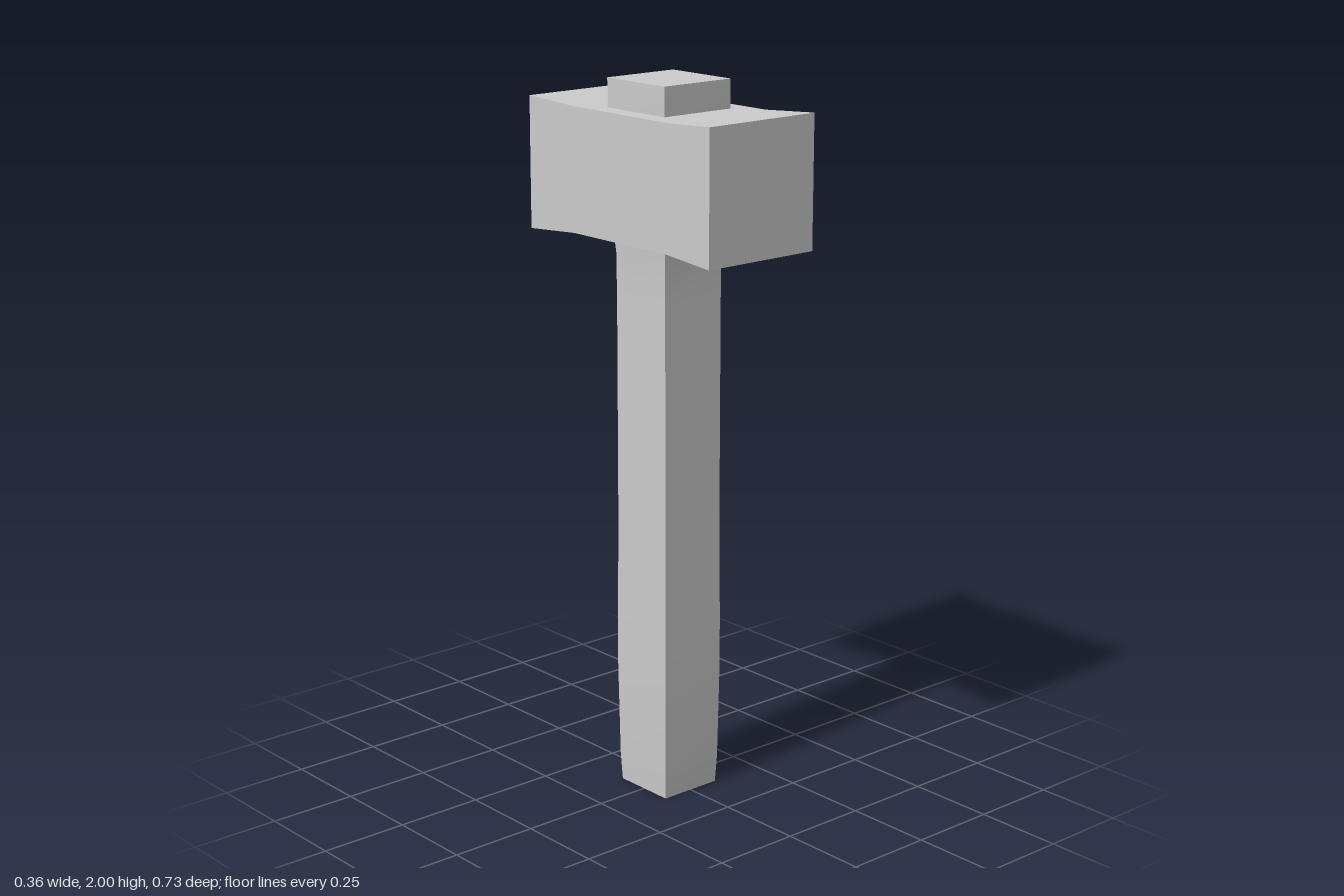
import * as THREE from 'three';
import { toCreasedNormals } from 'three/addons/utils/BufferGeometryUtils.js';

const material = new THREE.MeshStandardMaterial({ color: 0xcccccc });

// Square bar along y, shaped by [position, half width] stations
function squareBar(name, stations) {
  const geometry = new THREE.BoxGeometry(2, 1, 2, 1, stations.length - 1, 1);
  const p = geometry.attributes.position;
  for (let i = 0; i < p.count; i++) {
    const [y, half] = stations[Math.round((p.getY(i) + 0.5) * (stations.length - 1))];
    p.setXYZ(i, p.getX(i) * half, y, p.getZ(i) * half);
  }
  const mesh = new THREE.Mesh(toCreasedNormals(geometry, 0.5), material);
  mesh.name = name;
  return mesh;
}

export function createModel() {
  const group = new THREE.Group();
  group.name = 'hammer';

  // Handle: tapered foot, slim shaft, wider end that pokes out above the head
  group.add(squareBar('handle', [
    [0, 0.093], [0.08, 0.097], [0.35, 0.101], [0.5, 0.101], [0.75, 0.099],
    [1.4, 0.099], [1.53, 0.1], [1.58, 0.104], [1.9, 0.115], [2, 0.115],
  ]));

  // Head: block along z with a slightly pinched middle
  const head = squareBar('head', [
    [-0.363, 0.182], [-0.19, 0.171], [0.19, 0.171], [0.363, 0.182],
  ]);
  head.rotation.x = Math.PI / 2;
  head.position.y = 1.75;
  group.add(head);

  return group;
}
